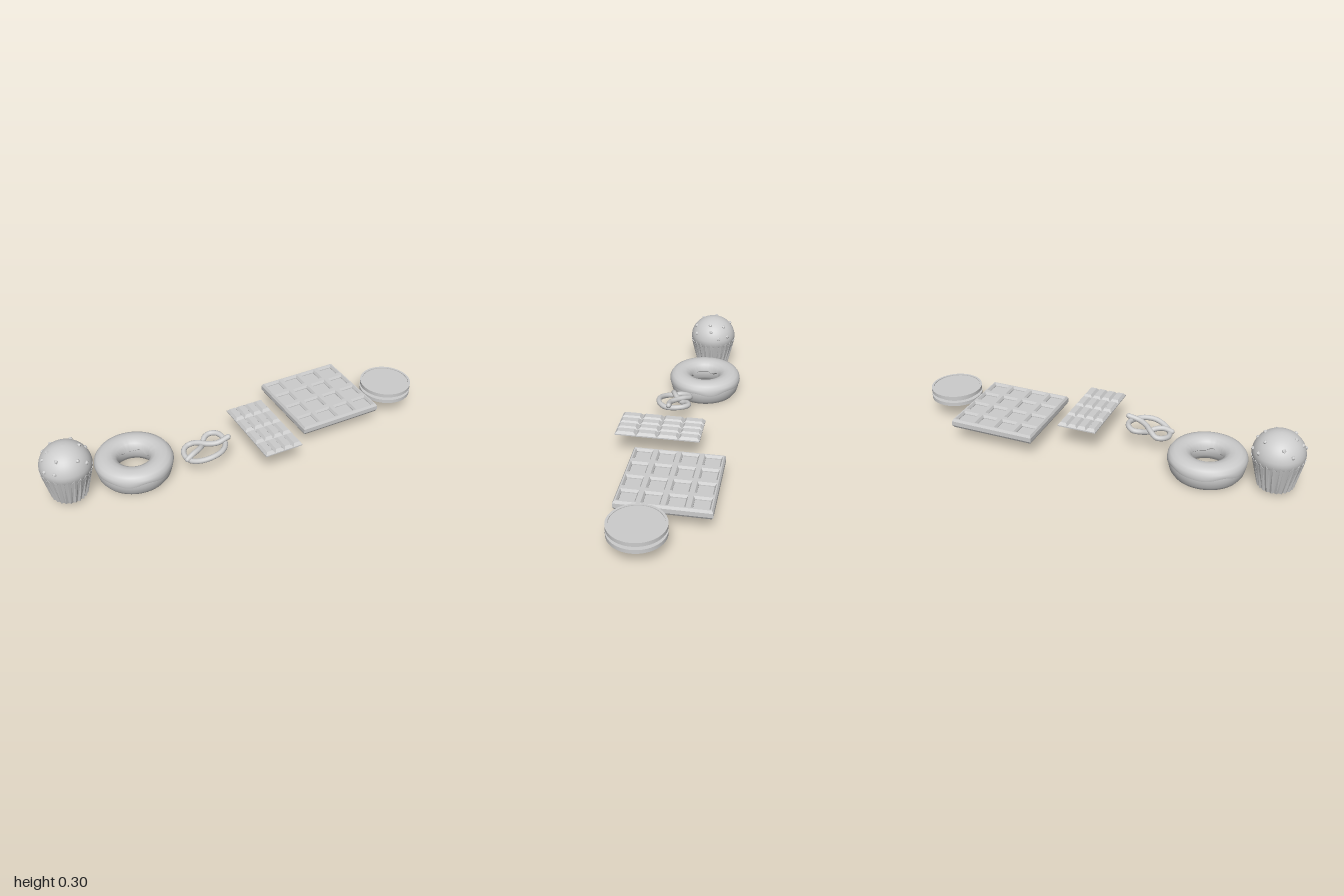
import * as THREE from 'three';
import { toCreasedNormals } from 'three/addons/utils/BufferGeometryUtils.js';

const biscuit = new THREE.MeshStandardMaterial({ color: 0xcccccc });
biscuit.name = 'plainGrey';

function part(parent, name, geometry, x = 0, y = 0, z = 0) {
  const mesh = new THREE.Mesh(geometry, biscuit);
  mesh.name = name;
  mesh.position.set(x, y, z);
  parent.add(mesh);
  return mesh;
}

function group(parent, name, x, z) {
  const g = new THREE.Group();
  g.name = name;
  g.position.set(x, 0, z);
  parent.add(g);
  return g;
}

// Moves every vertex of a geometry by a rule
function reshape(geometry, rule) {
  const pos = geometry.attributes.position;
  const v = new THREE.Vector3();
  for (let i = 0; i < pos.count; i++) {
    v.fromBufferAttribute(pos, i);
    rule(v);
    pos.setXYZ(i, v.x, v.y, v.z);
  }
  geometry.computeVertexNormals();
  return geometry;
}

const lathe = (points, segments) =>
  new THREE.LatheGeometry(points.map(([r, y]) => new THREE.Vector2(r, y)), segments);

function addMuffin(root) {
  const g = group(root, 'muffin', -0.876, -0.056);
  // Pleated paper cup with a zigzag rim
  const pleats = 24;
  const cup = reshape(new THREE.CylinderGeometry(0.122, 0.084, 0.15, pleats * 2, 1), (v) => {
    const r = Math.hypot(v.x, v.z);
    if (r < 0.01) return;
    const wave = Math.cos(Math.atan2(v.z, v.x) * pleats);
    const k = (r + wave * 0.004) / r;
    v.x *= k;
    v.z *= k;
    if (v.y > 0) v.y += wave * 0.011;
  });
  part(g, 'paperCup', toCreasedNormals(cup, 0.3), 0, 0.092, 0);
  // Domed top
  const dome = [[0, 0.145], [0.112, 0.147], [0.12, 0.165]];
  for (let i = 0; i <= 12; i++) {
    const a = (i / 12) * Math.PI / 2;
    dome.push([0.124 * Math.cos(a), 0.185 + 0.115 * Math.sin(a)]);
  }
  part(g, 'muffinTop', lathe(dome, 40));
  // Crumbs scattered over both halves of the dome
  const spots = [[0.09, 0.078], [0.008, 0.1], [0, 0.07], [-0.065, 0.09],
    [0.085, 0.048], [-0.045, 0.033], [-0.09, 0.038]];
  const nub = toCreasedNormals(new THREE.IcosahedronGeometry(0.0105, 0), 0.1);
  for (const side of [1, -1]) {
    spots.forEach(([z, y], i) => {
      const x = Math.sqrt(0.0154 - z * z - y * y);
      const m = part(g, 'crumb', nub, side * x, 0.181 + y * 0.96, side * z);
      m.rotation.set(i, i * 2, side);
    });
  }
}

function addDonut(root) {
  const g = group(root, 'donut', -0.545, -0.058);
  const dough = [[0.09, 0.1], [0.083, 0.07], [0.086, 0.04], [0.1, 0.014], [0.125, 0.001],
    [0.14, 0], [0.165, 0.008], [0.179, 0.028], [0.186, 0.055], [0.188, 0.08], [0.182, 0.1]];
  part(g, 'dough', lathe(dough, 64));
  // Icing with a wavy lower edge
  const icing = [[0.185, 0.072], [0.19, 0.073], [0.1925, 0.085], [0.189, 0.102], [0.178, 0.118], [0.158, 0.127],
    [0.133, 0.13], [0.108, 0.127], [0.088, 0.115], [0.077, 0.097], [0.075, 0.08], [0.084, 0.072]];
  const coat = reshape(lathe(icing, 80), (v) => {
    if (v.y > 0.09) return;
    const a = Math.atan2(v.z, v.x);
    v.y += 0.006 * Math.sin(a * 5) + 0.003 * Math.sin(a * 8 + 1);
  });
  part(g, 'icing', toCreasedNormals(coat, 0.9));
}

function addPretzel(root) {
  const g = group(root, 'pretzel', -0.215, 0.055);
  // Path of the twisted rope: x, z and lift above the tilted plane
  const path = [[-0.107, 0.022, 0.002], [-0.07, 0.012, 0.011], [-0.03, -0.008, 0.004], [0.0, -0.038, -0.009],
    [0.028, -0.072, 0], [0.06, -0.082, 0], [0.09, -0.062, 0], [0.104, -0.02, -0.004], [0.092, 0.03, -0.009],
    [0.055, 0.067, -0.004], [0, 0.08, 0], [-0.055, 0.064, -0.004], [-0.092, 0.028, -0.009],
    [-0.104, -0.02, -0.004], [-0.088, -0.058, 0], [-0.056, -0.072, 0], [-0.02, -0.05, 0.008],
    [0.016, -0.012, 0.008], [0.06, 0.012, 0.008], [0.118, 0.01, 0.012]];
  const curve = new THREE.CatmullRomCurve3(
    path.map(([x, z, lift]) => new THREE.Vector3(x, 0.114 + x * 0.17 + lift, z)));
  part(g, 'twistedRope', new THREE.TubeGeometry(curve, 120, 0.0135, 12));
  for (const t of [0, 1]) {
    const p = curve.getPoint(t);
    const cap = part(g, 'ropeEnd', new THREE.SphereGeometry(0.0135, 12, 8), p.x, p.y, p.z);
    cap.scale.setScalar(0.99);
  }
}

function addChocolateBar(root) {
  const g = group(root, 'chocolateBar', 0.1, 0.068);
  part(g, 'barBase', new THREE.BoxGeometry(0.2, 0.006, 0.415), 0, 0.135, 0);
  // Bevelled squares, four by four
  const square = reshape(new THREE.BoxGeometry(0.0485, 0.013, 0.102).toNonIndexed(), (v) => {
    if (v.y > 0) {
      v.x -= Math.sign(v.x) * 0.009;
      v.z -= Math.sign(v.z) * 0.012;
    }
  });
  for (let i = 0; i < 4; i++) {
    for (let j = 0; j < 4; j++) {
      part(g, 'square', square, (i - 1.5) * 0.05, 0.1445, (j - 1.5) * 0.1038);
    }
  }
}

function rectangle(path, x, y, half) {
  path.moveTo(x - half, y - half);
  path.lineTo(x + half, y - half);
  path.lineTo(x + half, y + half);
  path.lineTo(x - half, y + half);
  path.closePath();
  return path;
}

function addWaffle(root) {
  const g = group(root, 'waffle', 0.5, -0.058);
  // Grid of ribs with tapered pockets on both faces
  const shape = rectangle(new THREE.Shape(), 0, 0, 0.22);
  for (let i = 0; i < 4; i++) {
    for (let j = 0; j < 4; j++) {
      shape.holes.push(rectangle(new THREE.Path(), (i - 1.5) * 0.109, (j - 1.5) * 0.109, 0.036));
    }
  }
  const ribs = new THREE.ExtrudeGeometry(shape, {
    depth: 0.022, bevelEnabled: true, bevelThickness: 0.012, bevelSize: 0.007,
    bevelOffset: -0.007, bevelSegments: 1,
  });
  ribs.rotateX(-Math.PI / 2);
  part(g, 'waffleRibs', ribs, 0, 0.096, 0);
  part(g, 'pocketFloor', new THREE.BoxGeometry(0.42, 0.014, 0.42), 0, 0.107, 0);
}

function addSandwichCookie(root) {
  const g = group(root, 'sandwichCookie', 0.867, 0.021);
  // Wafer with a low raised rim on its outer face
  const profile = [[0, 0], [0.132, 0], [0.132, 0.019], [0.121, 0.019], [0.121, 0.015], [0, 0.015]];
  const wafer = toCreasedNormals(lathe(profile, 48), 0.6);
  part(g, 'topWafer', wafer, 0, 0.128, 0);
  const bottom = part(g, 'bottomWafer', wafer, 0, 0.111, 0);
  bottom.rotation.x = Math.PI;
  part(g, 'creamFilling', new THREE.CylinderGeometry(0.109, 0.109, 0.018, 48), 0, 0.1195, 0);
}

export function createModel() {
  const root = new THREE.Group();
  root.name = 'bakedTreats';
  addMuffin(root);
  addDonut(root);
  addPretzel(root);
  addChocolateBar(root);
  addWaffle(root);
  addSandwichCookie(root);
  return root;
}
